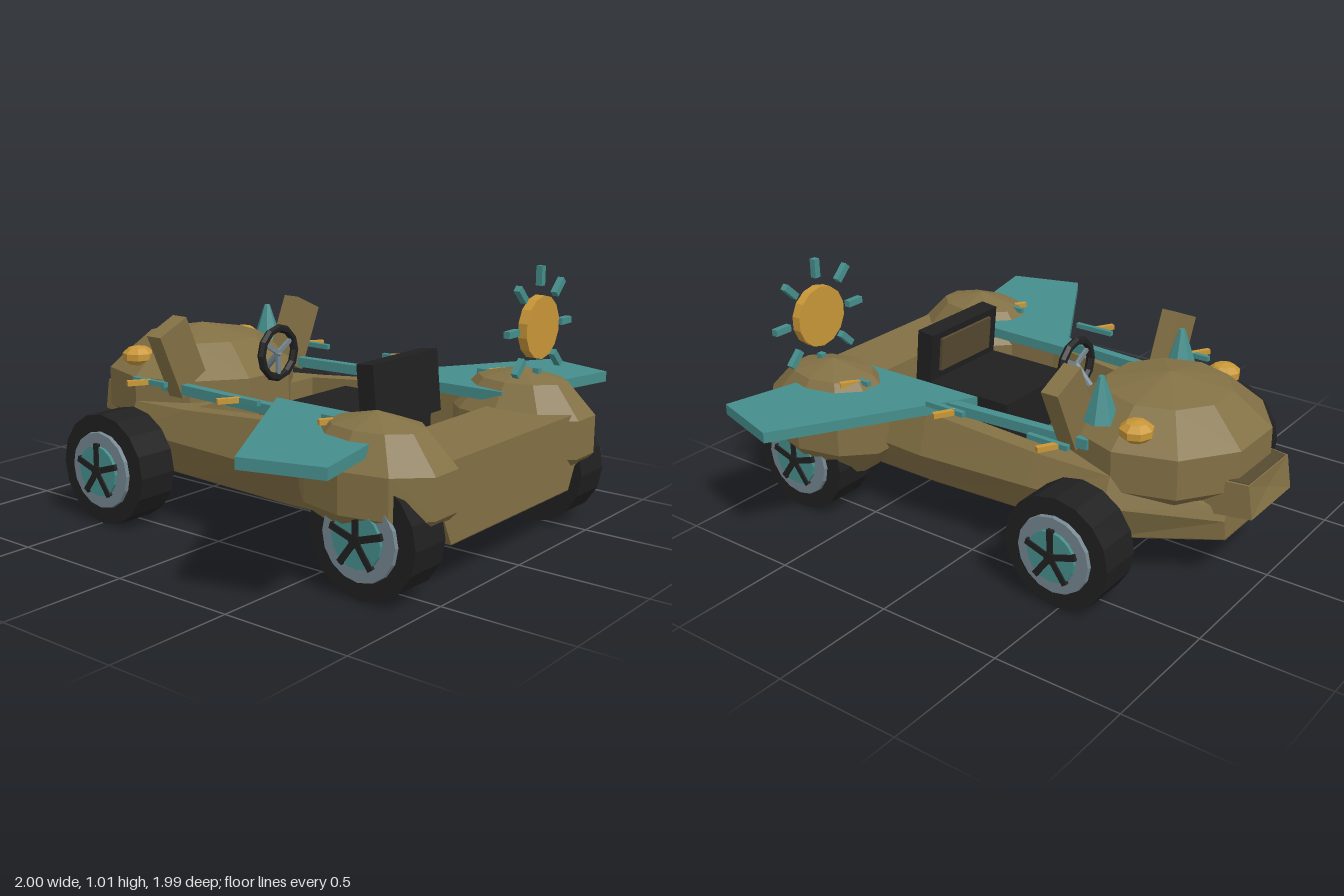
import * as THREE from 'three';

const mat = (name, color) => Object.assign(new THREE.MeshStandardMaterial({ color }), { name });

export function createModel() {
  const car = new THREE.Group();
  car.name = 'openBuggy';
  const brown = mat('bodyBrown', 0x837145);
  const darkBrown = mat('floorBrown', 0x564a31);
  const teal = mat('teal', 0x458e8c);
  const gold = mat('gold', 0xc89738);
  const black = mat('rubberBlack', 0x202021);
  const grey = mat('rimGrey', 0x748690);

  // Adds a faceted mesh
  function add(name, geo, material, pos = [0, 0, 0], rot = [0, 0, 0], parent = car) {
    const flat = geo.index ? geo.toNonIndexed() : geo;
    flat.computeVertexNormals();
    const mesh = new THREE.Mesh(flat, material);
    mesh.name = name;
    mesh.position.set(...pos);
    mesh.rotation.set(...rot);
    parent.add(mesh);
    return mesh;
  }
  const box = (w, h, d) => new THREE.BoxGeometry(w, h, d);
  const ball = (rx, ry, rz, ws = 10, hs = 5) => new THREE.SphereGeometry(1, ws, hs).scale(rx, ry, rz);
  const cyl = (r1, r2, h, n) => new THREE.CylinderGeometry(r1, r2, h, n);

  // Extrudes a plan outline of [x, z] points downward
  function plate(points, thick) {
    const shape = new THREE.Shape(points.map(([x, z]) => new THREE.Vector2(x, z)));
    return new THREE.ExtrudeGeometry(shape, { depth: thick, bevelEnabled: false }).rotateX(Math.PI / 2);
  }

  // Lofts closed loops, ordered from +z to -z, with end caps
  function loft(loops) {
    const pos = [];
    const n = loops[0].length;
    const tri = (...pts) => pts.forEach((p) => pos.push(...p));
    for (let i = 0; i < loops.length - 1; i++) {
      for (let j = 0; j < n; j++) {
        const k = (j + 1) % n;
        const a = loops[i][j], b = loops[i][k], c = loops[i + 1][k], d = loops[i + 1][j];
        tri(a, d, c);
        tri(a, c, b);
      }
    }
    const cap = (loop, flip) => {
      const mid = [0, (loop[0][1] + loop[2][1]) / 2, loop[0][2]];
      for (let j = 0; j < n; j++) {
        const p = loop[j], q = loop[(j + 1) % n];
        if (flip) tri(mid, q, p); else tri(mid, p, q);
      }
    };
    cap(loops[0], false);
    cap(loops[loops.length - 1], true);
    const g = new THREE.BufferGeometry();
    g.setAttribute('position', new THREE.Float32BufferAttribute(pos, 3));
    return g;
  }

  // Hull tub: z, bottom width, middle width, middle y, top width, top y, inner width, floor y
  const stations = [
    [0.97, 0.40, 0.46, 0.30, 0.40, 0.47, 0.33, 0.47],
    [0.67, 0.41, 0.48, 0.33, 0.43, 0.48, 0.36, 0.48],
    [0.67, 0.41, 0.48, 0.33, 0.43, 0.48, 0.36, 0.22],
    [0.25, 0.41, 0.50, 0.33, 0.45, 0.495, 0.38, 0.22],
    [-0.24, 0.38, 0.46, 0.33, 0.42, 0.455, 0.35, 0.22],
    [-0.24, 0.38, 0.46, 0.33, 0.42, 0.455, 0.35, 0.455],
    [-0.55, 0.36, 0.435, 0.33, 0.39, 0.44, 0.33, 0.44],
    [-0.89, 0.14, 0.155, 0.26, 0.14, 0.30, 0.12, 0.30],
  ];
  add('hull', loft(stations.map(([z, wb, wm, ym, wt, yt, wi, yf]) => [
    [-wt, yt, z], [-wm, ym, z], [-wb, 0.18, z], [wb, 0.18, z], [wm, ym, z],
    [wt, yt, z], [wi, yt, z], [wi, yf, z], [-wi, yf, z], [-wi, yt, z],
  ])), brown);

  // Dark cockpit floor and underside
  add('cockpitFloor', box(0.70, 0.008, 0.90), darkBrown, [0, 0.226, 0.215]);
  const underside = stations.map(([z, wb]) => [wb, z]).filter((p, i) => i !== 2 && i !== 5);
  const mirrored = underside.map(([x, z]) => [-x, z]).reverse();
  add('underside', plate([...underside, ...mirrored], 0.006), darkBrown, [0, 0.183, 0]);

  // Domed hood with a snout
  add('hoodDome', ball(0.41, 0.25, 0.41), brown, [0, 0.46, -0.55]);
  const snout = loft([[-0.8, 0.18, 0.29, 0.43], [-0.975, 0.152, 0.30, 0.43]].map(([z, w, y0, y1]) => [
    [-w, y1, z], [-w, y0, z - 0.02], [w, y0, z - 0.02], [w, y1, z],
  ]));
  add('snout', snout, brown);
  add('snoutTop', plate([[-0.158, -0.88], [0.158, -0.88], [0.143, -0.97], [-0.143, -0.97]], 0.006),
    darkBrown, [0, 0.433, 0]);

  // Seat
  add('seatCushion', box(0.41, 0.19, 0.42), black, [0, 0.39, 0.26]);
  add('seatBack', box(0.41, 0.24, 0.075), black, [0, 0.572, 0.467], [-0.1, 0, 0]);
  add('seatBackPad', box(0.31, 0.14, 0.02), darkBrown, [0, 0.59, 0.425], [-0.1, 0, 0]);

  // Steering wheel and column
  const steering = new THREE.Group();
  steering.name = 'steeringWheel';
  steering.position.set(0, 0.63, -0.132);
  car.add(steering);
  add('steeringRim', new THREE.TorusGeometry(0.1, 0.017, 6, 12), black, [0, 0, 0], [0, 0, 0], steering);
  for (let i = 0; i < 3; i++) {
    const a = Math.PI / 6 + (i * Math.PI * 2) / 3 + Math.PI / 3 * 2;
    add('steeringSpoke', box(0.1, 0.018, 0.012), grey,
      [Math.cos(a) * 0.05, Math.sin(a) * 0.05, 0], [0, 0, a], steering);
  }
  add('steeringColumn', cyl(0.014, 0.014, 0.2, 8), grey, [0, -0.07, -0.065], [0.75, 0, 0], steering);

  // Wheel with rim, hub disc and five spokes, outer side toward s
  function wheel(name, s, z) {
    const g = new THREE.Group();
    g.name = name;
    g.position.set(0.55 * s, 0.22, z);
    g.rotation.y = s > 0 ? 0 : Math.PI;
    car.add(g);
    const side = [0, 0, -Math.PI / 2];
    add('tire', cyl(0.22, 0.22, 0.17, 16), black, [0, 0, 0], side, g);
    add('rim', cyl(0.15, 0.155, 0.03, 16), grey, [0.085, 0, 0], side, g);
    add('hubDisc', cyl(0.1, 0.1, 0.03, 16), teal, [0.098, 0, 0], side, g);
    add('hubCap', cyl(0.025, 0.025, 0.02, 8), black, [0.112, 0, 0], side, g);
    for (let i = 0; i < 5; i++) {
      const a = (i * Math.PI * 2) / 5;
      add('spoke', box(0.014, 0.11, 0.024), black,
        [0.112, Math.cos(a) * 0.055, Math.sin(a) * 0.055], [a, 0, 0], g);
    }
  }

  for (const s of [1, -1]) {
    const label = s > 0 ? 'left' : 'right';
    wheel(label + 'FrontWheel', s, 0.77);
    wheel(label + 'BackWheel', s, -0.485);
    add(label + 'Fender', ball(0.225, 0.24, 0.315), brown, [0.473 * s, 0.375, 0.712]);

    // Swept wing and the slim rail along the cockpit
    const outline = [[0.3, 0.12], [1, 0.55], [0.91, 0.85], [0.6, 0.78], [0.31, 0.72]];
    add(label + 'Wing', plate(outline.map(([x, z]) => [x * s, z]), 0.042), teal, [0, 0.538, 0]);
    add(label + 'Rail', box(0.038, 0.04, 0.74), teal, [0.37 * s, 0.516, -0.06], [0, 0.07 * s, 0]);

    // Small side bars with slanted pegs
    for (const z of [-0.355, 0.115, 0.585]) {
      add(label + 'SideBar', box(0.02, 0.02, 0.175), teal, [0.495 * s, 0.563, z]);
      add(label + 'Peg', box(0.09, 0.02, 0.022), gold, [0.53 * s, 0.563, z - 0.025], [0, -0.53, 0]);
    }

    // Ear blocks, horns and eyes on the hood
    add(label + 'Ear', box(0.155, 0.28, 0.073), brown, [0.35 * s, 0.64, -0.347], [0, 0, -0.42 * s]);
    add(label + 'Horn', cyl(0.012, 0.068, 0.17, 7), teal, [0.28 * s, 0.675, -0.435]);
    add(label + 'Eye', ball(0.067, 0.042, 0.067, 8, 5), gold, [0.315 * s, 0.607, -0.608]);
  }

  // Sun ornament above the left fender
  const sun = new THREE.Group();
  sun.name = 'sunOrnament';
  sun.position.set(0.465, 0.775, 0.78);
  car.add(sun);
  add('sunDisc', cyl(0.123, 0.123, 0.038, 14), gold, [0, 0, 0], [Math.PI / 2, 0, 0], sun);
  for (let i = 0; i < 8; i++) {
    const a = (i * Math.PI) / 4;
    add('sunRay', box(0.075, 0.026, 0.026), teal,
      [Math.cos(a) * 0.197, Math.sin(a) * 0.197, 0], [0, 0, a], sun);
  }
  return car;
}
